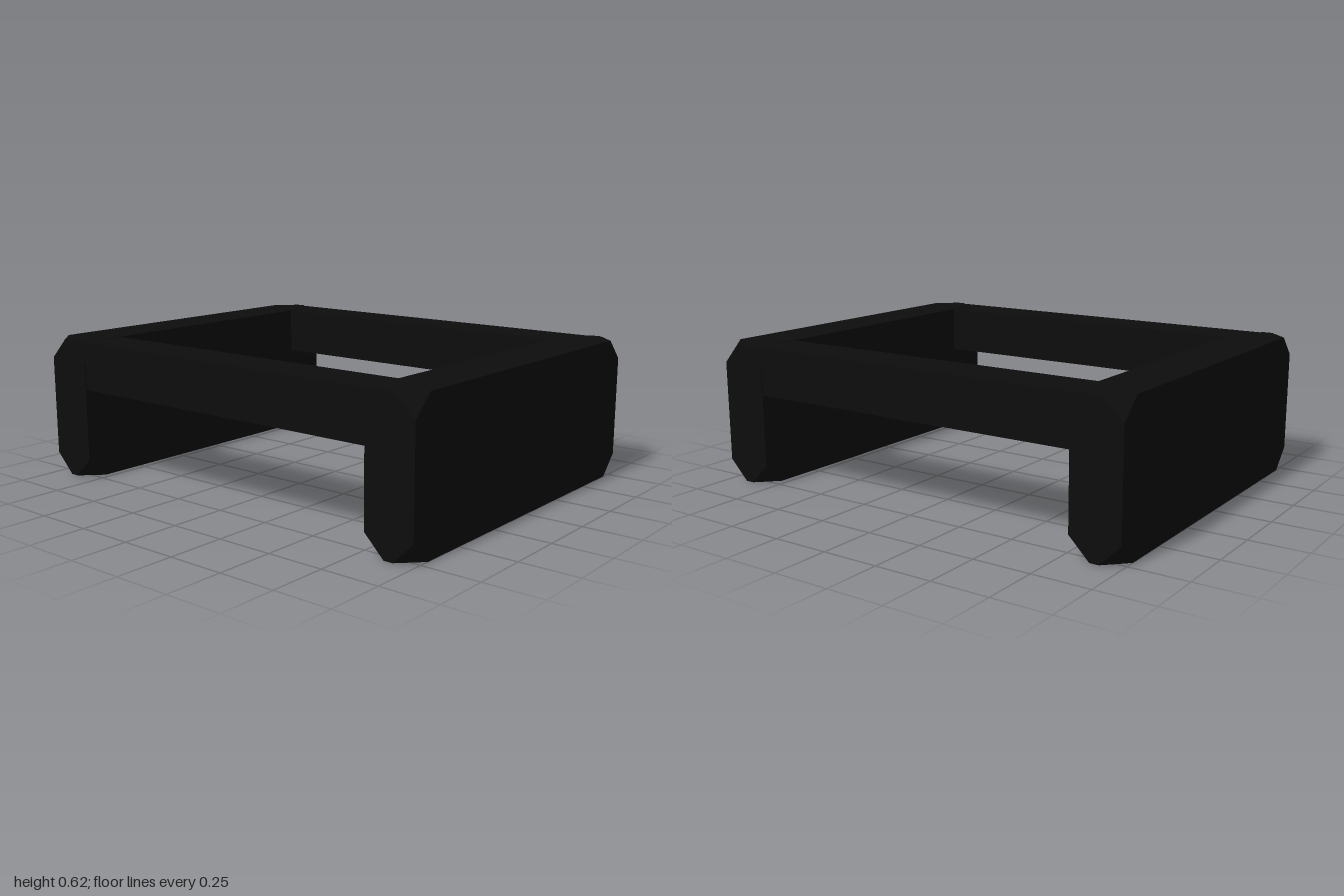
import * as THREE from 'three';
import { ConvexGeometry } from 'three/addons/geometries/ConvexGeometry.js';

// Box whose eight corners are each cut off by a small triangle
function cutCornerBox(w, h, d, cut) {
  const points = [];
  for (const sx of [-1, 1]) for (const sy of [-1, 1]) for (const sz of [-1, 1]) {
    const x = sx * w / 2, y = sy * h / 2, z = sz * d / 2;
    points.push(
      new THREE.Vector3(x - sx * cut, y, z),
      new THREE.Vector3(x, y - sy * cut, z),
      new THREE.Vector3(x, y, z - sz * cut)
    );
  }
  return new ConvexGeometry(points);
}

export function createModel() {
  const model = new THREE.Group();
  model.name = 'openFrame';

  const black = new THREE.MeshStandardMaterial({ color: 0x0d0d0d });
  black.name = 'black';

  function add(name, geometry, x, y, z) {
    const mesh = new THREE.Mesh(geometry, black);
    mesh.name = name;
    mesh.position.set(x, y, z);
    model.add(mesh);
  }

  // Upright slabs at the two ends, standing on the ground
  const slab = cutCornerBox(1.59, 0.625, 0.22, 0.09);
  add('frontSlab', slab, 0, 0.3125, 0.89);
  add('backSlab', slab, 0, 0.3125, -0.89);

  // Rails along the top edges, set into the slabs
  const rail = new THREE.BoxGeometry(0.207, 0.213, 1.78);
  add('leftRail', rail, 0.6875, 0.5165, 0);
  add('rightRail', rail, -0.6875, 0.5165, 0);

  return model;
}
